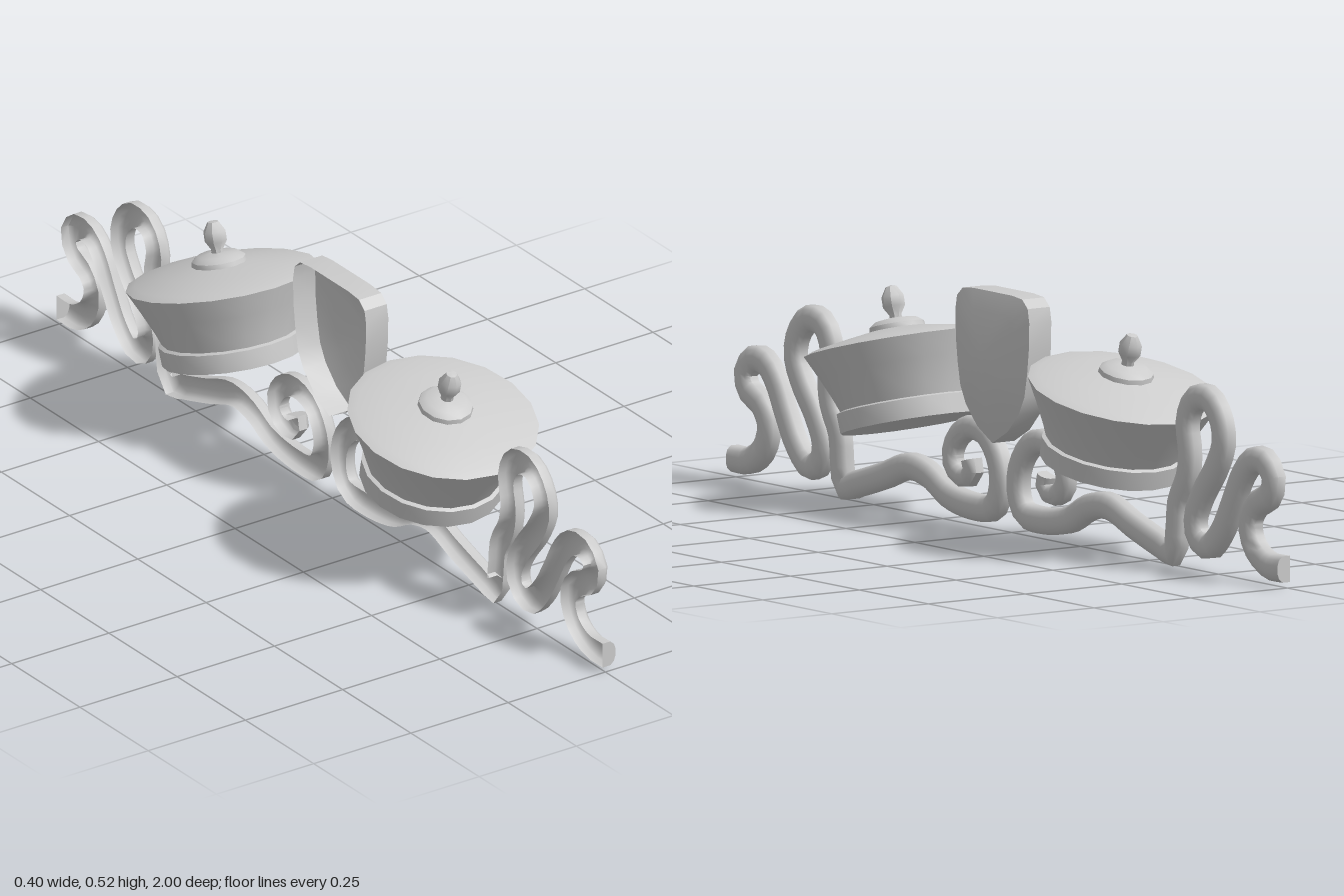
import * as THREE from 'three';
import { toCreasedNormals } from 'three/addons/utils/BufferGeometryUtils.js';

const material = new THREE.MeshStandardMaterial({ color: 0xcccccc, side: THREE.DoubleSide });

// Skin a list of equally long rows of [x, y, z] points
function skin(rows, crease) {
  const n = rows[0].length, index = [];
  for (let i = 0; i < rows.length - 1; i++) {
    for (let j = 0; j < n - 1; j++) {
      const a = i * n + j, b = a + n;
      index.push(a, a + 1, b, a + 1, b + 1, b);
    }
  }
  const geometry = new THREE.BufferGeometry();
  geometry.setAttribute('position', new THREE.Float32BufferAttribute(rows.flat(2), 3));
  geometry.setIndex(index);
  return toCreasedNormals(geometry, crease);
}

function addMesh(parent, name, geometry) {
  const mesh = new THREE.Mesh(geometry, material);
  mesh.name = name;
  parent.add(mesh);
  return mesh;
}

// Scroll centre line as [z, y], from the outer end to the inner curl
const scrollPath = [
  [1, 0.046], [0.94, 0.048], [0.89, 0.08], [0.872, 0.13], [0.895, 0.17], [0.945, 0.198],
  [0.957, 0.235], [0.925, 0.267], [0.88, 0.262], [0.845, 0.228], [0.81, 0.165],
  [0.77, 0.1], [0.725, 0.062], [0.685, 0.075], [0.674, 0.115], [0.70, 0.17],
  [0.75, 0.235], [0.776, 0.29], [0.765, 0.34], [0.725, 0.376], [0.672, 0.368],
  [0.645, 0.32], [0.654, 0.25], [0.645, 0.2], [0.615, 0.145], [0.608, 0.085],
  [0.596, 0.034], [0.55, 0.045], [0.45, 0.075], [0.36, 0.105], [0.29, 0.094],
  [0.22, 0.06], [0.12, 0.046], [0.055, 0.055], [0.032, 0.1], [0.04, 0.155],
  [0.08, 0.203], [0.135, 0.215], [0.186, 0.19], [0.207, 0.145], [0.19, 0.115],
  [0.155, 0.105], [0.132, 0.122], [0.138, 0.145],
];
// Open-backed channel section as [x, offset]
const channel = [[-0.007, -0.028], [0.013, -0.028], [0.022, -0.02], [0.026, -0.008],
  [0.026, 0.008], [0.022, 0.02], [0.013, 0.028], [-0.007, 0.028]];

function scroll(side) {
  const group = new THREE.Group();
  group.name = side > 0 ? 'frontScroll' : 'backScroll';
  const curve = new THREE.CatmullRomCurve3(
    scrollPath.map(([z, y]) => new THREE.Vector3(0, y, z * side)), false, 'centripetal');
  const rows = [], steps = 110;
  for (let i = 0; i <= steps; i++) {
    const p = curve.getPointAt(i / steps);
    const t = curve.getTangentAt(i / steps);
    if (i === 0) t.set(0, 0, -side);
    // thins slightly towards the curl
    const k = i / steps > 0.85 ? 1 - (i / steps - 0.85) * 1.6 : 1;
    rows.push(channel.map(([x, o]) => [x, Math.max(0, p.y + t.z * o * k), p.z - t.y * o * k]));
  }
  addMesh(group, 'scrollChannel', skin(rows, 0.9));
  // flat caps on both ends
  for (const row of [rows[0], rows[steps]]) {
    const middle = [0.01, (row[0][1] + row[7][1]) / 2, (row[0][2] + row[7][2]) / 2];
    const ring = [...row, row[0]];
    addMesh(group, 'scrollEnd', skin([ring, ring.map(() => middle)], 0.5));
  }
  return group;
}

// Hollow domed shield: half outline as [z, y], mirrored
function shield() {
  const half = [[0, 0.522], [0.07, 0.522], [0.108, 0.518], [0.128, 0.5], [0.134, 0.47],
    [0.132, 0.41], [0.126, 0.36], [0.116, 0.31], [0.096, 0.272], [0.055, 0.23], [0, 0.2]];
  const outline = [...half, ...half.slice(0, -1).reverse().map(([z, y]) => [-z, y])];
  // rings from the open back to the crown as [x, scale]
  const rings = [[-0.007, 1], [0.05, 1], [0.067, 0.7], [0.077, 0.4], [0.081, 0.15], [0.082, 0]];
  const rows = rings.map(([x, s]) => outline.map(([z, y]) => [x, 0.39 + (y - 0.39) * s, z * s]));
  return skin(rows, 0.6);
}

function lathe(points, segments) {
  const geometry = new THREE.LatheGeometry(points.map(([r, y]) => new THREE.Vector2(r, y)), segments);
  return toCreasedNormals(geometry, 0.65);
}

// Lidded pot with its origin at the rim centre, leaning outwards
function pot(side) {
  const group = new THREE.Group();
  group.name = side > 0 ? 'frontPot' : 'backPot';
  addMesh(group, 'potFoot', lathe([[0, -0.172], [0.153, -0.172], [0.155, -0.13], [0.146, -0.126]], 18));
  addMesh(group, 'potBody', lathe([[0.146, -0.128], [0.157, -0.1], [0.18, -0.05], [0.205, 0]], 18));
  addMesh(group, 'potLid', lathe([[0.205, 0], [0.185, 0.008], [0.12, 0.02], [0.06, 0.03], [0, 0.033]], 18));
  addMesh(group, 'knobBase', lathe([[0.06, 0.028], [0.058, 0.04], [0.044, 0.05], [0.014, 0.054]], 12));
  addMesh(group, 'knob', lathe([[0.014, 0.05], [0.013, 0.06], [0.024, 0.078], [0.024, 0.1],
    [0.012, 0.12], [0, 0.123]], 8));
  group.position.set(0, 0.361, 0.406 * side);
  group.rotation.x = 0.265 * side;
  return group;
}

export function createModel() {
  const model = new THREE.Group();
  model.name = 'ornament';
  for (const side of [1, -1]) model.add(scroll(side), pot(side));
  addMesh(model, 'shield', shield());
  return model;
}
